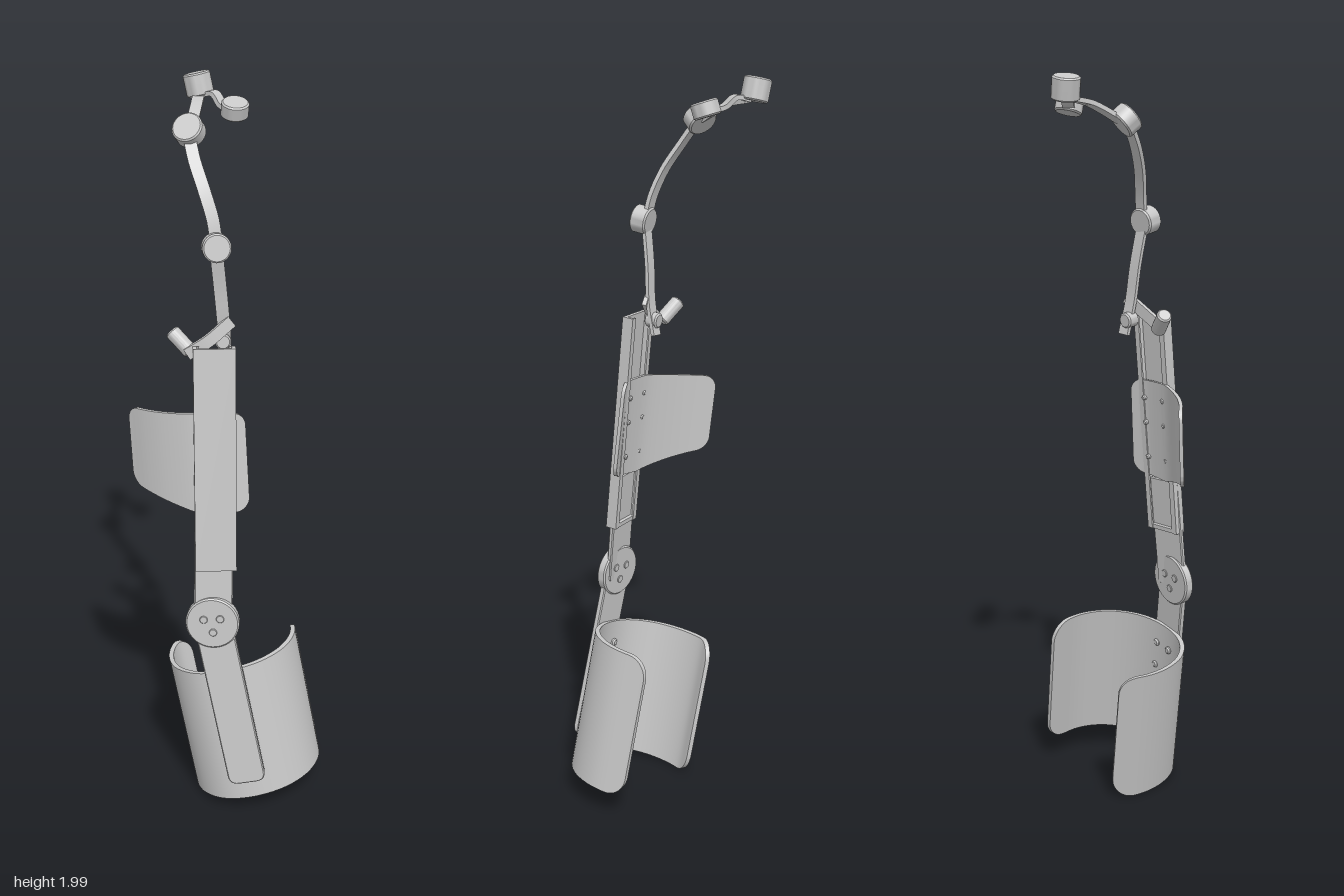
import * as THREE from 'three';
import { toCreasedNormals } from 'three/addons/utils/BufferGeometryUtils.js';

const V = (x, y, z) => new THREE.Vector3(x, y, z);
const grey = new THREE.MeshStandardMaterial({ color: 0xc8c8c8 });
grey.name = 'satin grey';

function part(parent, name, geometry) {
  const mesh = new THREE.Mesh(geometry, grey);
  mesh.name = name;
  parent.add(mesh);
  return mesh;
}

// Skins a row of four-cornered cross-sections and caps both ends
function loft(loops) {
  const pos = loops.flat().flatMap((p) => [p.x, p.y, p.z]);
  const index = [];
  const last = (loops.length - 1) * 4;
  for (let i = 0; i < loops.length - 1; i++) {
    for (let j = 0; j < 4; j++) {
      const a = i * 4 + j, b = i * 4 + (j + 1) % 4;
      index.push(a, b, b + 4, a, b + 4, a + 4);
    }
  }
  index.push(0, 2, 1, 0, 3, 2, last, last + 1, last + 2, last, last + 2, last + 3);
  const g = new THREE.BufferGeometry();
  g.setAttribute('position', new THREE.Float32BufferAttribute(pos, 3));
  g.setIndex(index);
  return toCreasedNormals(g, 0.6);
}

// Curved plate following a plan curve (x, z), with rounded corners and a lean
function shell({ plan, top, bottom, radius, y0, leanX, leanZ, thick }) {
  const curve = new THREE.CatmullRomCurve3(plan.map(([x, z]) => V(x, 0, z)));
  const length = curve.getLength();
  const steps = 56;
  const loops = [];
  for (let i = 0; i <= steps; i++) {
    const u = (1 - Math.cos(Math.PI * i / steps)) / 2;
    const p = curve.getPointAt(u), t = curve.getTangentAt(u);
    const d = Math.min(radius, Math.min(u, 1 - u) * length);
    const inset = 0.97 * (radius - Math.sqrt(radius ** 2 - (radius - d) ** 2));
    const at = (y, side) => V(
      p.x - t.z * side * thick / 2 + leanX * (y - y0), y,
      p.z + t.x * side * thick / 2 + leanZ * (y - y0));
    const hi = top(p.x, p.z) - inset, lo = bottom(p.x, p.z) + inset;
    loops.push([at(hi, 1), at(lo, 1), at(lo, -1), at(hi, -1)]);
  }
  return loft(loops);
}

// Flat strap bent along a path; "across" is the direction of its width
function strap(points, across, width, thick, steps = 16) {
  const curve = new THREE.CatmullRomCurve3(points.map((p) => V(...p)));
  const loops = [];
  for (let i = 0; i <= steps; i++) {
    const p = curve.getPointAt(i / steps), t = curve.getTangentAt(i / steps);
    const w = V(...across).addScaledVector(t, -t.dot(V(...across))).normalize();
    const n = t.clone().cross(w);
    const at = (a, b) => p.clone().addScaledVector(n, a * thick / 2).addScaledVector(w, b * width / 2);
    loops.push([at(1, 1), at(1, -1), at(-1, -1), at(-1, 1)]);
  }
  return loft(loops);
}

// Turns an object so its y follows "up" and its z is nearest to "front"
function orient(object, position, up, front) {
  const y = V(...up).normalize();
  const x = y.clone().cross(V(...front)).normalize();
  const z = x.clone().cross(y);
  object.quaternion.setFromRotationMatrix(new THREE.Matrix4().makeBasis(x, y, z));
  object.position.set(...position);
  return object;
}

// Chamfered drum centred at a point along an axis
function drum(parent, name, position, axis, radius, height, sides = 32) {
  const c = Math.min(0.004, height / 4), h = height / 2;
  const profile = [[0, -h], [radius - c, -h], [radius, c - h], [radius, h - c], [radius - c, h], [0, h]];
  const g = new THREE.LatheGeometry(profile.map(([r, y]) => new THREE.Vector2(r, y)), sides);
  const mesh = part(parent, name, toCreasedNormals(g, 0.5));
  mesh.quaternion.setFromUnitVectors(V(0, 1, 0), V(...axis).normalize());
  mesh.position.set(...position);
  return mesh;
}

// Flat bar with rounded corners, spanning y from lo to hi
function bar(halfWidth, lo, hi, r, depth) {
  const w = halfWidth, s = new THREE.Shape();
  s.moveTo(-w + r, lo).lineTo(w - r, lo).quadraticCurveTo(w, lo, w, lo + r);
  s.lineTo(w, hi - r).quadraticCurveTo(w, hi, w - r, hi);
  s.lineTo(-w + r, hi).quadraticCurveTo(-w, hi, -w, hi - r);
  s.lineTo(-w, lo + r).quadraticCurveTo(-w, lo, -w + r, lo);
  const b = 0.003;
  const g = new THREE.ExtrudeGeometry(s, {
    depth: depth - 2 * b, bevelThickness: b, bevelSize: b, bevelOffset: -b, bevelSegments: 1, curveSegments: 6 });
  return g.translate(0, 0, b - depth / 2);
}

export function createModel() {
  const model = new THREE.Group();
  model.name = 'armSupport';

  // Lower cuff, open at the back
  const cuffTop = (x, z) => 0.437 + 0.19 * x + 0.1 * (z - 0.05);
  part(model, 'lowerCuff', shell({
    plan: [[-0.125, -0.085], [-0.16, -0.04], [-0.174, 0.04], [-0.155, 0.12], [-0.1, 0.178],
      [-0.02, 0.2], [0.07, 0.185], [0.14, 0.135], [0.18, 0.06], [0.187, -0.05]],
    top: cuffTop, bottom: (x, z) => cuffTop(x, z) - 0.392,
    radius: 0.06, y0: 0.437, leanX: -0.19, leanZ: -0.1, thick: 0.013 }));

  // Lower strut with screws reaching the inside of the cuff
  const pivot = [-0.055, 0.6, 0.193];
  const lower = orient(new THREE.Group(), pivot, [-0.19, 0.977, -0.11], [-0.13, 0.1, 1]);
  lower.name = 'lowerStrut';
  model.add(lower);
  part(lower, 'strutBar', bar(0.052, -0.5, 0.03, 0.028, 0.018));
  for (let row = 0; row < 4; row++) {
    for (const side of [-1, 1]) {
      drum(lower, 'cuffScrew', [side * 0.026, -0.22 - row * 0.075, -0.016], [0, 0, 1], 0.011, 0.022, 14);
    }
  }

  // Hinge disc with three screws on each face
  const hinge = orient(new THREE.Group(), pivot, [0, 1, -0.08], [-0.14, 0.08, 1]);
  hinge.name = 'hinge';
  model.add(hinge);
  drum(hinge, 'hingeDisc', [0, 0, 0], [0, 0, 1], 0.073, 0.028, 48);
  for (let i = 0; i < 3; i++) {
    const a = i * Math.PI * 2 / 3 + 0.6;
    for (const z of [-0.014, 0.014]) {
      drum(hinge, 'hingeScrew', [0.026 * Math.cos(a), 0.026 * Math.sin(a), z], [0, 0, 1], 0.011, 0.006, 14);
    }
  }
  const tongue = part(model, 'hingeTongue', bar(0.052, -0.02, 0.3, 0.01, 0.014));
  orient(tongue, [-0.054, 0.6, 0.19], [0.02, 1, -0.1], [0, 0.1, 1]);

  // Long upper channel, open at the back
  const channel = orient(new THREE.Group(), [-0.045, 1.055, 0.152], [0, 1, -0.1], [0, 0.1, 1]);
  channel.name = 'upperChannel';
  model.add(channel);
  const long = 0.612;
  part(channel, 'channelFace', new THREE.BoxGeometry(0.11, long, 0.01));
  for (const side of [-1, 1]) {
    part(channel, 'channelFlange', new THREE.BoxGeometry(0.01, long, 0.024)).position.set(side * 0.05, 0, -0.015);
    part(channel, 'channelLip', new THREE.BoxGeometry(0.008, long, 0.005)).position.set(side * 0.042, 0, -0.0245);
  }
  part(channel, 'channelFoot', new THREE.BoxGeometry(0.09, 0.012, 0.022)).position.set(0, -0.3, -0.014);

  // Upper pad sweeping back on one side
  part(model, 'upperPad', shell({
    plan: [[-0.262, 0.0], [-0.22, 0.045], [-0.17, 0.085], [-0.1, 0.122], [-0.05, 0.132], [0.0, 0.134], [0.04, 0.124]],
    top: (x) => 1.18 + 0.15 * Math.min(0, x + 0.08),
    bottom: (x) => 0.9 - 0.22 * Math.min(0, x + 0.08) + 0.1 * Math.max(0, x + 0.08),
    radius: 0.035, y0: 1.04, leanX: -0.05, leanZ: -0.1, thick: 0.01 }));
  for (const x of [-0.08, -0.01]) {
    for (const y of [-0.08, 0.02, 0.09]) {
      drum(model, 'padScrew', [x, 1.04 + y, 0.126 - 0.1 * y], [0, 0.1, 1], 0.007, 0.012, 12);
    }
  }

  // Bracket at the head of the channel
  drum(model, 'bracketKnob', [-0.128, 1.358, 0.06], [-0.055, 0.055, -0.03], 0.02, 0.075, 20);
  part(model, 'bracketArm', strap([[-0.115, 1.332, 0.085], [-0.06, 1.365, 0.08], [0.002, 1.412, 0.06]], [-0.5, 0.8, 0], 0.032, 0.012));
  drum(model, 'bracketPin', [-0.02, 1.355, 0.048], [0, 0.1, 1], 0.021, 0.036, 20);

  // Jointed links climbing from the bracket
  part(model, 'firstLink', strap([[-0.012, 1.315, 0.036], [-0.018, 1.4, 0.055], [-0.027, 1.5, 0.064], [-0.038, 1.61, 0.08]], [1, 0, 0], 0.034, 0.01));
  drum(model, 'firstJoint', [-0.038, 1.617, 0.09], [0.05, 0.18, 1], 0.037, 0.046);
  part(model, 'secondLink', strap([[-0.038, 1.63, 0.075], [-0.045, 1.68, 0.065], [-0.066, 1.75, 0.04], [-0.088, 1.815, 0.002], [-0.1, 1.87, -0.035]], [1, 0.15, 0], 0.032, 0.012));
  drum(model, 'secondJoint', [-0.1, 1.882, -0.045], [-0.3, 0.62, 0.7], 0.04, 0.042);
  part(model, 'thirdLink', strap([[-0.096, 1.88, -0.06], [-0.088, 1.9, -0.095], [-0.077, 1.925, -0.15], [-0.07, 1.935, -0.2]], [1, 0, -0.2], 0.03, 0.012));
  drum(model, 'thirdJoint', [-0.07, 1.963, -0.222], [-0.2, 0.96, -0.1], 0.036, 0.059);
  part(model, 'fourthLink', strap([[-0.058, 1.938, -0.21], [-0.03, 1.945, -0.185], [-0.012, 1.922, -0.162], [0.015, 1.912, -0.13]], [-0.6, 0, -0.8].map((v, i) => [v, 0, 0.6][i] && [-0.6, 0, 0.8][i]), 0.03, 0.012));
  drum(model, 'fourthJoint', [0.02, 1.917, -0.128], [0.05, 0.95, 0.3], 0.036, 0.04);

  return model;
}
